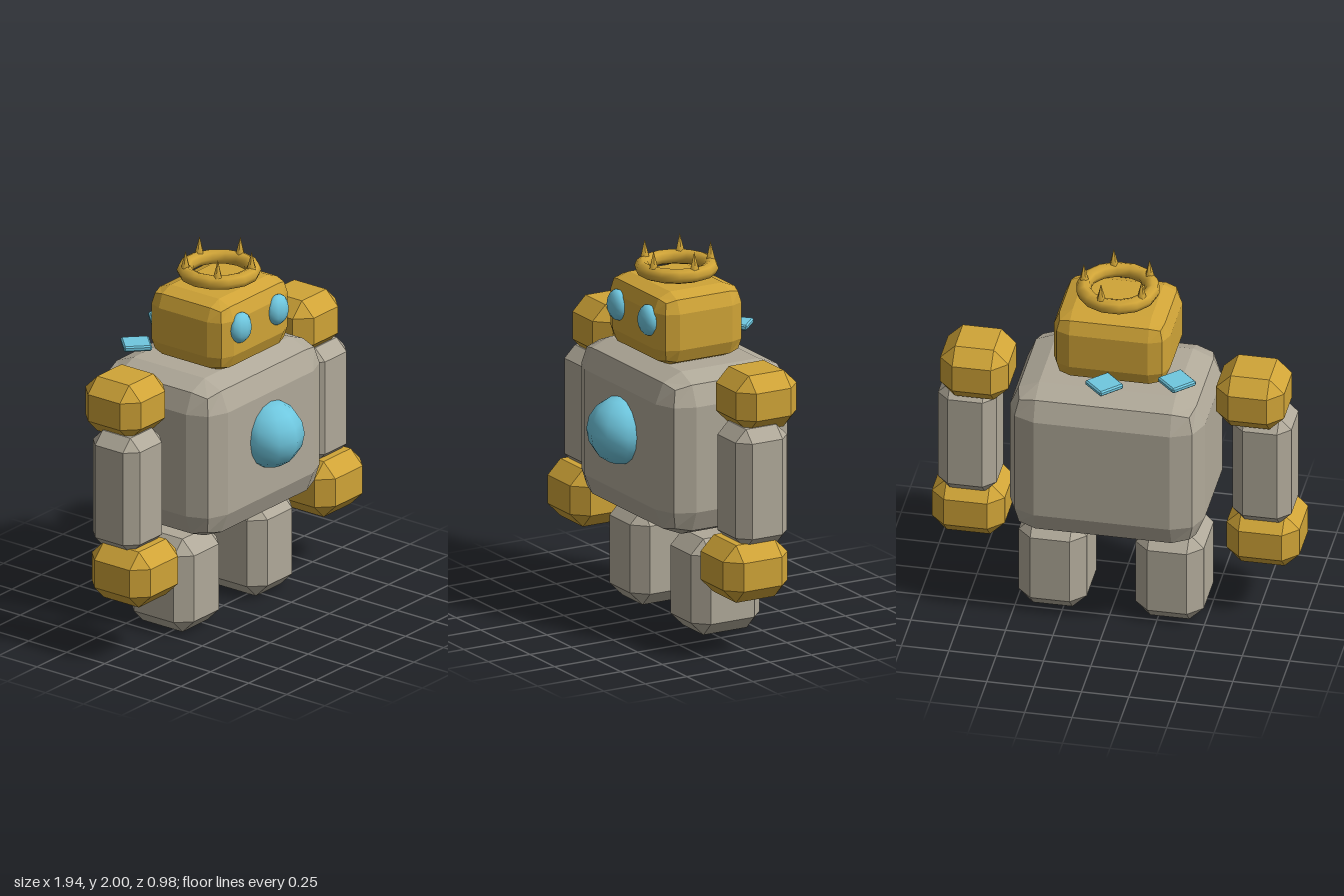
import * as THREE from 'three';
import { RoundedBoxGeometry } from 'three/addons/geometries/RoundedBoxGeometry.js';
import { ConvexGeometry } from 'three/addons/geometries/ConvexGeometry.js';

// Box with every edge cut at 45 degrees and triangular corners
function chamferBox(w, h, d, c) {
  const points = [];
  for (const x of [-w / 2, w / 2])
    for (const y of [-h / 2, h / 2])
      for (const z of [-d / 2, d / 2]) {
        const ix = x - Math.sign(x) * c, iy = y - Math.sign(y) * c, iz = z - Math.sign(z) * c;
        points.push(new THREE.Vector3(x, iy, iz), new THREE.Vector3(ix, y, iz), new THREE.Vector3(ix, iy, z));
      }
  return new ConvexGeometry(points);
}

// Box with two-facet rounded edges, flat shaded
function facetedBox(w, h, d, r) {
  const geometry = new RoundedBoxGeometry(w, h, d, 1, r);
  geometry.computeVertexNormals();
  return geometry;
}

export function createModel() {
  const model = new THREE.Group();
  model.name = 'robot';

  const material = (name, color) => {
    const m = new THREE.MeshStandardMaterial({ color });
    m.name = name;
    return m;
  };
  const stone = material('stone grey', 0xb0a999);
  const gold = material('gold', 0xd0a437);
  const crystal = material('crystal blue', 0x6fc8e0);

  function add(name, geometry, mat, x, y, z, parent = model) {
    const mesh = new THREE.Mesh(geometry, mat);
    mesh.name = name;
    mesh.position.set(x, y, z);
    parent.add(mesh);
    return mesh;
  }

  // Body and head
  add('torso', facetedBox(1.03, 0.88, 0.775, 0.155), stone, 0, 0.99, -0.078);
  add('head', facetedBox(0.616, 0.395, 0.517, 0.1), gold, 0, 1.622, -0.027);

  // Chest orb and eyes share one low-poly ball, with a vertex facing forward
  const ball = new THREE.SphereGeometry(1, 10, 8).rotateY(Math.PI / 2);
  add('chestOrb', ball, crystal, 0, 1.043, 0.305).scale.setScalar(0.18);

  // Mirrored limbs and eyes
  const shoulder = chamferBox(0.36, 0.305, 0.365, 0.078);
  const arm = chamferBox(0.31, 0.645, 0.31, 0.064);
  const hand = chamferBox(0.385, 0.31, 0.387, 0.078);
  const leg = chamferBox(0.36, 0.52, 0.413, 0.076);
  for (const [side, s] of [['left', 1], ['right', -1]]) {
    add(side + 'Shoulder', shoulder, gold, s * 0.728, 1.357, -0.078);
    add(side + 'Arm', arm, stone, s * 0.778, 0.914, -0.025);
    add(side + 'Hand', hand, gold, s * 0.778, 0.47, 0.024);
    add(side + 'Leg', leg, stone, s * 0.309, 0.26, -0.078);
    add(side + 'Eye', ball, crystal, s * 0.156, 1.667, 0.232).scale.set(0.075, 0.083, 0.05);
  }

  // Crown: ring with five spikes
  const crown = new THREE.Group();
  crown.name = 'crown';
  crown.position.set(0, 1.875, -0.03);
  model.add(crown);
  add('crownRing', new THREE.TorusGeometry(0.18, 0.04, 8, 14).rotateX(Math.PI / 2), gold, 0, 0, 0, crown);
  const spike = new THREE.ConeGeometry(0.031, 0.12, 5);
  for (let i = 0; i < 5; i++) {
    const a = (i * Math.PI * 2) / 5;
    add('crownSpike', spike, gold, Math.cos(a) * 0.18, 0.065, Math.sin(a) * 0.18, crown);
  }

  // Floating crystal plates behind the head
  const plate = chamferBox(0.147, 0.03, 0.147, 0.008).rotateY(Math.PI / 4);
  add('backCrystal', plate, crystal, 0, 1.51, -0.392);
  add('sideCrystal', plate, crystal, -0.363, 1.51, -0.29);

  return model;
}
